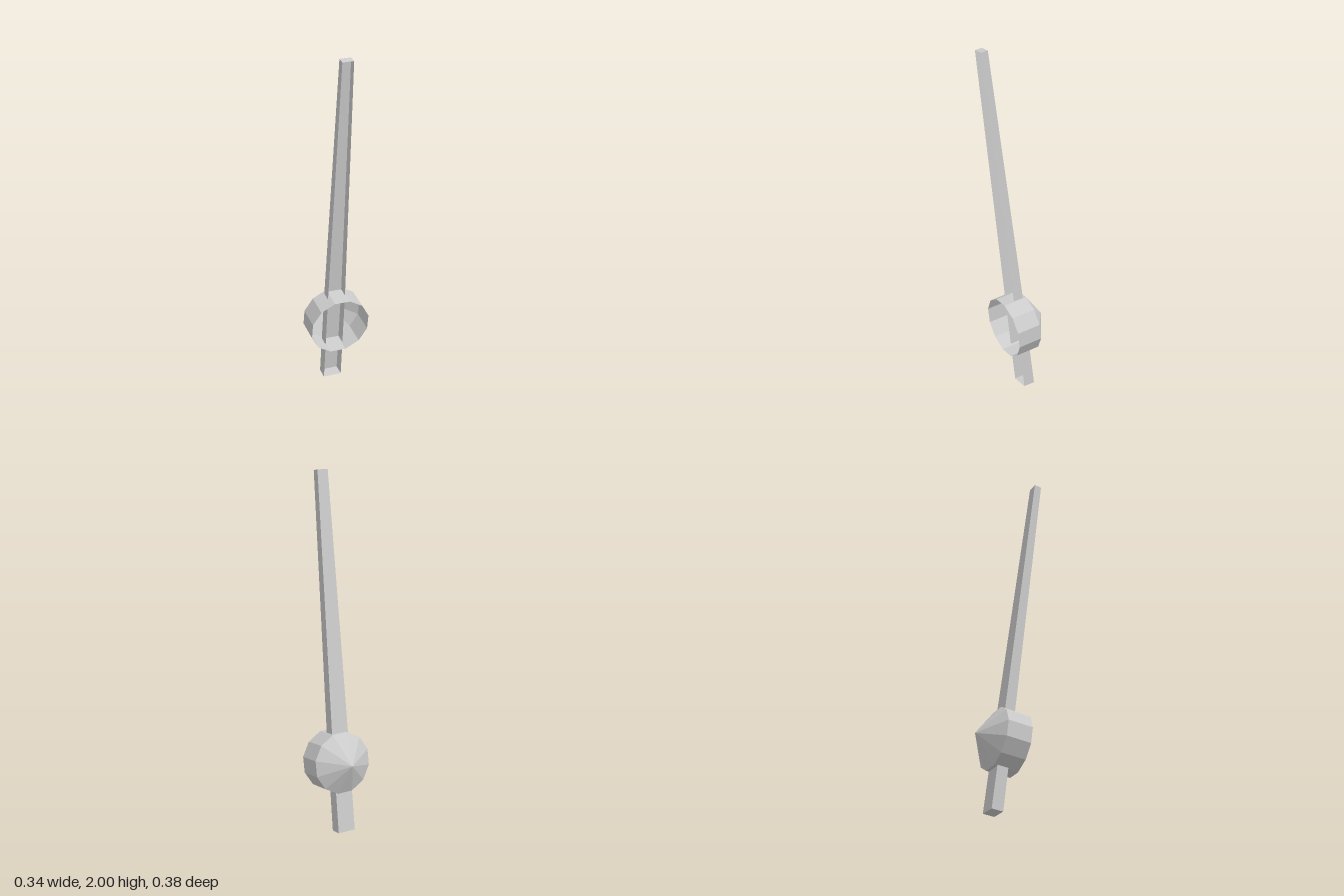
import * as THREE from 'three';

const material = new THREE.MeshStandardMaterial({
  color: 0xcccccc, flatShading: true, side: THREE.DoubleSide,
});

// Tapered needle: a trough with closed ends and an open front.
function needleGeometry() {
  // [xLeft, xRight, front y, front z, back y, back z] per cross-section
  const sections = [
    [-0.06, 0.045, 0, -0.055, 0.008, -0.12],
    [-0.059, 0.043, 0.56, 0.014, 0.568, -0.044],
    [-0.047, 0.016, 1.993, 0.193, 2, 0.153],
  ];
  const positions = [];
  const index = [];
  for (const [x0, x1, yf, zf, yb, zb] of sections) {
    positions.push(x0, yf, zf, x0, yb, zb, x1, yb, zb, x1, yf, zf);
  }
  const quad = (a, b, c, d) => index.push(a, b, c, a, c, d);
  for (let s = 0; s < sections.length - 1; s++) {
    for (let i = 0; i < 3; i++) {
      const a = s * 4 + i;
      quad(a, a + 4, a + 5, a + 1);
    }
  }
  const top = (sections.length - 1) * 4;
  quad(0, 1, 2, 3);
  quad(top + 3, top + 2, top + 1, top);

  const indexed = new THREE.BufferGeometry();
  indexed.setAttribute('position', new THREE.Float32BufferAttribute(positions, 3));
  indexed.setIndex(index);
  const geometry = indexed.toNonIndexed();
  geometry.computeVertexNormals();
  return geometry;
}

// Twelve-sided hub: open ring in front, cone behind.
function hubGeometry() {
  const radius = 0.174;
  const profile = [[radius, -0.07], [radius, 0.07], [0, 0.178]]
    .map(([r, y]) => new THREE.Vector2(r, y));
  const geometry = new THREE.LatheGeometry(profile, 12, THREE.MathUtils.degToRad(16.5));
  geometry.rotateX(-Math.PI / 2);
  return geometry;
}

export function createModel() {
  const model = new THREE.Group();
  model.name = 'gaugePointer';

  const needle = new THREE.Mesh(needleGeometry(), material);
  needle.name = 'needle';

  const hub = new THREE.Mesh(hubGeometry(), material);
  hub.name = 'hub';
  hub.position.set(-0.001, 0.397, -0.014);
  hub.rotation.x = THREE.MathUtils.degToRad(7.7);

  model.add(needle, hub);
  return model;
}
